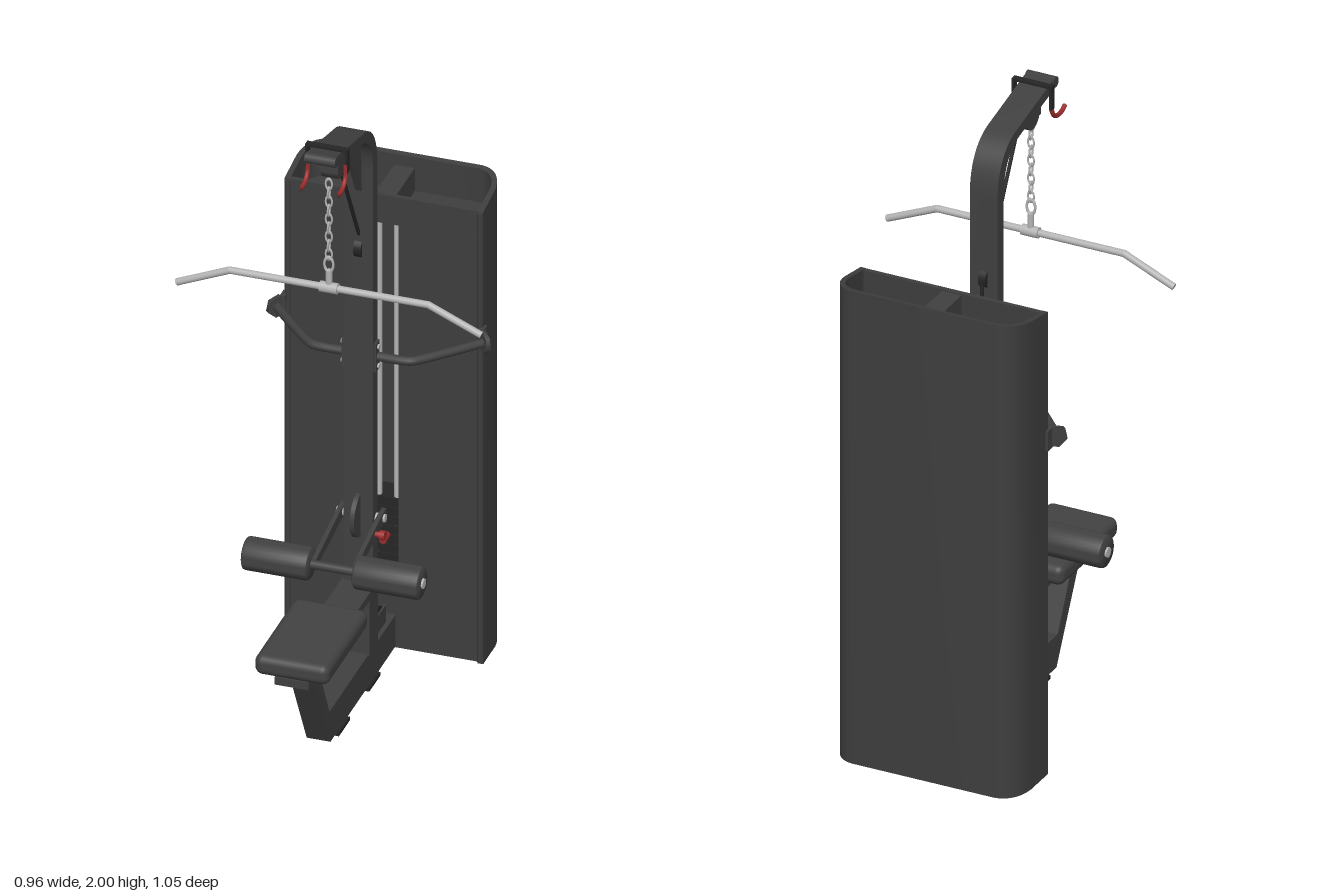
import * as THREE from 'three';
import { toCreasedNormals } from 'three/addons/utils/BufferGeometryUtils.js';
import { RoundedBoxGeometry } from 'three/addons/geometries/RoundedBoxGeometry.js';

const material = (name, color) => {
  const m = new THREE.MeshStandardMaterial({ color });
  m.name = name;
  return m;
};
const V = (x, y, z) => new THREE.Vector3(x, y, z);

export function createModel() {
  const root = new THREE.Group();
  root.name = 'pulldownMachine';
  const frame = material('frameGrey', 0x404040);
  const shell = material('shroudGrey', 0x3e3e3e);
  const pad = material('padGrey', 0x424242);
  const black = material('cableBlack', 0x262626);
  const steel = material('steel', 0xb4b4b4);
  const red = material('red', 0x9c2c2c);

  const add = (name, geo, mat) => {
    const m = new THREE.Mesh(geo, mat);
    m.name = name;
    root.add(m);
    return m;
  };
  const box = (name, mat, x0, x1, y0, y1, z0, z1) =>
    add(name, new THREE.BoxGeometry(x1 - x0, y1 - y0, z1 - z0), mat)
      .position.set((x0 + x1) / 2, (y0 + y1) / 2, (z0 + z1) / 2);
  // straight round bar between two points
  const rod = (name, mat, a, b, r, sides = 16) => {
    const m = add(name, new THREE.CylinderGeometry(r, r, a.distanceTo(b), sides), mat);
    m.position.copy(a).lerp(b, 0.5);
    m.quaternion.setFromUnitVectors(V(0, 1, 0), b.clone().sub(a).normalize());
    return m;
  };
  const tube = (name, mat, pts, r) =>
    add(name, new THREE.TubeGeometry(new THREE.CatmullRomCurve3(pts, false, 'centripetal'), 40, r, 12), mat);
  // outline given as (z, y), extruded evenly about x
  const sideExtrude = (shape, width, x = 0) => {
    const g = new THREE.ExtrudeGeometry(shape, { depth: width, bevelEnabled: false, curveSegments: 14 });
    g.translate(0, 0, -width / 2).rotateY(-Math.PI / 2).translate(x, 0, 0);
    return toCreasedNormals(g, 0.5);
  };
  const poly = pts => new THREE.Shape(pts.map(p => new THREE.Vector2(...p)));
  // outline given as (x, -z), extruded upward
  const planExtrude = (shape, y, height) => {
    const g = new THREE.ExtrudeGeometry(shape, { depth: height, bevelEnabled: false, curveSegments: 10 });
    return g.rotateX(-Math.PI / 2).translate(0, y, 0);
  };

  // ---- weight stack shroud: curved back wall with a sloping rim
  const outline = (t, path = new THREE.Shape()) => {
    const w = 0.31 - t, b = 0.525 - t, f = 0.32;
    path.moveTo(w, f);
    path.lineTo(w, 0.43);
    path.bezierCurveTo(w - 0.005, 0.48, 0.285 - t, b - 0.005, 0.235, b);
    path.lineTo(-0.235, b);
    path.bezierCurveTo(t - 0.285, b - 0.005, -w + 0.005, 0.48, -w, 0.43);
    path.lineTo(-w, f);
    return path;
  };
  const inner = outline(0.017).getPoints(10).reverse();
  const wallShape = new THREE.Shape([...outline(0).getPoints(10), ...inner]);
  const wall = planExtrude(wallShape, 0, 1.545);
  const wp = wall.attributes.position;
  for (let i = 0; i < wp.count; i++)
    if (wp.getY(i) > 1) wp.setY(i, 1.545 + (-wp.getZ(i) - 0.32) * 0.17);
  wall.computeVertexNormals();
  add('shroudWall', toCreasedNormals(wall, 0.5), shell);
  add('shroudBottom', planExtrude(outline(0.008), 0.008, 0.012), shell);
  add('shroudTopTray', planExtrude(outline(0.01), 1.45, 0.012), shell);
  const front = poly([[-0.295, 0.005], [0.295, 0.005], [0.295, 1.545], [-0.295, 1.545]]);
  front.holes.push(new THREE.Path([[-0.045, 0.2], [-0.045, 1.46], [0.045, 1.46], [0.045, 0.2]]
    .map(p => new THREE.Vector2(...p))));
  add('shroudFront', new THREE.ExtrudeGeometry(front, { depth: 0.015, bevelEnabled: false }), shell)
    .position.z = -0.336;
  box('shroudTopBeam', frame, -0.032, 0.032, 1.455, 1.54, -0.51, -0.33);
  for (const s of [-1, 1]) {
    // flanges along the front edges
    rod('shroudEdge', shell, V(s * 0.3, 0.005, -0.322), V(s * 0.3, 1.54, -0.322), 0.009, 10);
    rod('guideRod', steel, V(s * 0.028, 0.2, -0.36), V(s * 0.028, 1.45, -0.36), 0.009);
    box('channelSide', shell, s * 0.08 - 0.004, s * 0.08 + 0.004, 0.15, 1.45, -0.45, -0.335);
  }
  box('channelBack', shell, -0.08, 0.08, 0.15, 1.45, -0.455, -0.445);
  for (let i = 0; i < 11; i++)
    box('weightPlate', black, -0.07, 0.07, 0.15 + i * 0.032, 0.178 + i * 0.032, -0.43, -0.345);
  rod('selectorPin', red, V(0, 0.37, -0.35), V(0, 0.37, -0.31), 0.012);

  // ---- base and seat support
  add('baseBeamAndSeatLeg', sideExtrude(poly([[0.434, 0.325], [0.381, 0.325], [0.278, 0.117],
    [-0.325, 0.117], [-0.325, 0.01], [0.27, 0.01]]), 0.074), frame);
  for (const z of [0.166, -0.109]) box('foot', black, -0.045, 0.045, 0, 0.012, z - 0.05, z + 0.05);
  box('mastPost', frame, -0.04, 0.04, 0.11, 0.33, -0.15, -0.075);
  box('seatBeam', frame, -0.053, 0.053, 0.325, 0.35, -0.155, 0.515);
  add('seatPad', new RoundedBoxGeometry(0.233, 0.066, 0.375, 4, 0.025), pad).position.set(0, 0.382, 0.337);

  // ---- mast bending into the overhead arm
  const mast = new THREE.Shape();
  mast.moveTo(-0.13, 0.34);
  mast.lineTo(-0.09, 0.34);
  mast.lineTo(-0.09, 1.76);
  mast.bezierCurveTo(-0.09, 1.85, -0.05, 1.9, 0.03, 1.915);
  mast.lineTo(0.255, 1.965);
  mast.lineTo(0.247, 1.998);
  mast.lineTo(-0.01, 1.938);
  mast.bezierCurveTo(-0.09, 1.92, -0.13, 1.85, -0.13, 1.76);
  add('mast', sideExtrude(mast, 0.092), frame);
  add('armGusset', sideExtrude(poly([[0.03, 1.918], [-0.05, 1.9], [-0.095, 1.84], [-0.095, 1.68]]), 0.02), frame);
  rod('armEndCap', frame, V(-0.048, 1.981, 0.246), V(0.048, 1.981, 0.246), 0.017);

  // ---- bar hook bracket and pulley cover
  box('bracketTop', black, -0.066, 0.066, 1.99, 1.998, 0.18, 0.2);
  rod('pulleyCover', frame, V(-0.026, 1.91, 0.14), V(0.026, 1.91, 0.14), 0.042, 24);
  box('pulleyCoverTop', frame, -0.03, 0.03, 1.9, 1.955, 0.1, 0.182);
  for (const s of [-1, 1]) {
    box('bracketSide', black, s * 0.062 - 0.004, s * 0.062 + 0.004, 1.92, 1.995, 0.18, 0.2);
    tube('barHook', red, [V(s * 0.059, 1.95, 0.195), V(s * 0.059, 1.905, 0.199),
      V(s * 0.059, 1.882, 0.222), V(s * 0.059, 1.88, 0.26), V(s * 0.059, 1.89, 0.282)], 0.007);
  }

  // ---- cable run and pulleys
  rod('upperCable', black, V(0, 1.9, 0.097), V(0, 1.5, -0.115), 0.006, 8);
  rod('lowerCable', black, V(0, 1.48, -0.14), V(0, 0.15, -0.196), 0.006, 8);
  rod('mastPulley', black, V(-0.012, 1.49, -0.11), V(0.012, 1.49, -0.11), 0.034, 24);
  rod('basePulley', black, V(-0.014, 0.14, -0.235), V(0.014, 0.14, -0.235), 0.044, 24);
  for (const s of [-1, 1])
    box('pulleyBracket', frame, s * 0.02 - 0.003, s * 0.02 + 0.003, 0.11, 0.175, -0.275, -0.195);

  // ---- chain and pulldown bar
  for (let i = 0; i < 9; i++) {
    const link = add('chainLink', new THREE.TorusGeometry(0.01, 0.0032, 6, 14), steel);
    link.scale.y = 1.75;
    link.position.set(0, 1.86 - i * 0.03, 0.177);
    link.rotation.y = i % 2 ? Math.PI / 2 : 0;
  }
  const clip = add('carabiner', new THREE.TorusGeometry(0.014, 0.004, 8, 18), steel);
  clip.scale.y = 1.7;
  clip.position.set(0, 1.585, 0.177);
  rod('swivel', steel, V(0, 1.565, 0.175), V(0, 1.5, 0.175), 0.01);
  rod('barSleeve', steel, V(-0.028, 1.505, 0.175), V(0.028, 1.505, 0.175), 0.017);
  rod('pullBar', steel, V(-0.31, 1.505, 0.175), V(0.31, 1.505, 0.175), 0.011);
  for (const s of [-1, 1]) {
    add('barBend', new THREE.SphereGeometry(0.011, 14, 10), steel).position.set(s * 0.31, 1.505, 0.175);
    rod('barGrip', steel, V(s * 0.31, 1.505, 0.175), V(s * 0.475, 1.433, 0.175), 0.011);
  }

  // ---- thigh roller assembly
  const half = new THREE.Shape();
  half.absarc(-0.105, 0.58, 0.075, -Math.PI / 2, Math.PI / 2, false);
  half.closePath();
  add('adjusterPlate', sideExtrude(half, 0.014), frame);
  rod('rollerAxle', frame, V(-0.28, 0.52, 0.13), V(0.28, 0.52, 0.13), 0.014);
  rod('pivotAxle', steel, V(-0.076, 0.567, -0.117), V(0.076, 0.567, -0.117), 0.013);
  const roller = new THREE.LatheGeometry([[0, -0.103], [0.044, -0.103], [0.049, -0.1], [0.051, -0.093],
    [0.051, 0.093], [0.049, 0.1], [0.044, 0.103], [0, 0.103]].map(p => new THREE.Vector2(...p)), 32);
  for (const s of [-1, 1]) {
    const r = add('thighRoller', toCreasedNormals(roller, 0.7), pad);
    r.rotation.z = Math.PI / 2;
    r.position.set(s * 0.173, 0.52, 0.13);
    rod('rollerEndCap', steel, V(s * 0.275, 0.52, 0.13), V(s * 0.282, 0.52, 0.13), 0.016);
    add('rollerArm', sideExtrude(poly([[0.13, 0.505], [0.13, 0.537], [-0.1, 0.585], [-0.14, 0.588],
      [-0.14, 0.55], [-0.1, 0.548]]), 0.014, s * 0.063), frame);
  }
  rod('adjusterStem', red, V(0.06, 0.553, -0.043), V(0.09, 0.553, -0.043), 0.009);
  rod('adjusterKnob', red, V(0.084, 0.553, -0.043), V(0.1, 0.553, -0.043), 0.015);

  // ---- tie arms from mast to shroud
  for (const s of [-1, 1]) {
    tube('tieArm', frame, [V(s * 0.045, 1.12, -0.112), V(s * 0.13, 1.12, -0.113), V(s * 0.155, 1.12, -0.118),
      V(s * 0.18, 1.12, -0.138), V(s * 0.25, 1.12, -0.21), V(s * 0.322, 1.12, -0.288)], 0.014);
    box('tieMastPlate', frame, s * 0.05 - 0.004, s * 0.05 + 0.004, 1.075, 1.17, -0.127, -0.093);
    for (const y of [1.09, 1.155])
      rod('tieBolt', steel, V(s * 0.05, y, -0.11), V(s * 0.06, y, -0.11), 0.008, 6);
    rod('tieFlange', frame, V(s * 0.318, 1.12, -0.288), V(s * 0.328, 1.12, -0.297), 0.036, 6);
    box('tieShroudTab', frame, s * 0.31 - 0.008, s * 0.31 + 0.008, 1.087, 1.153, -0.335, -0.3);
  }
  return root;
}
